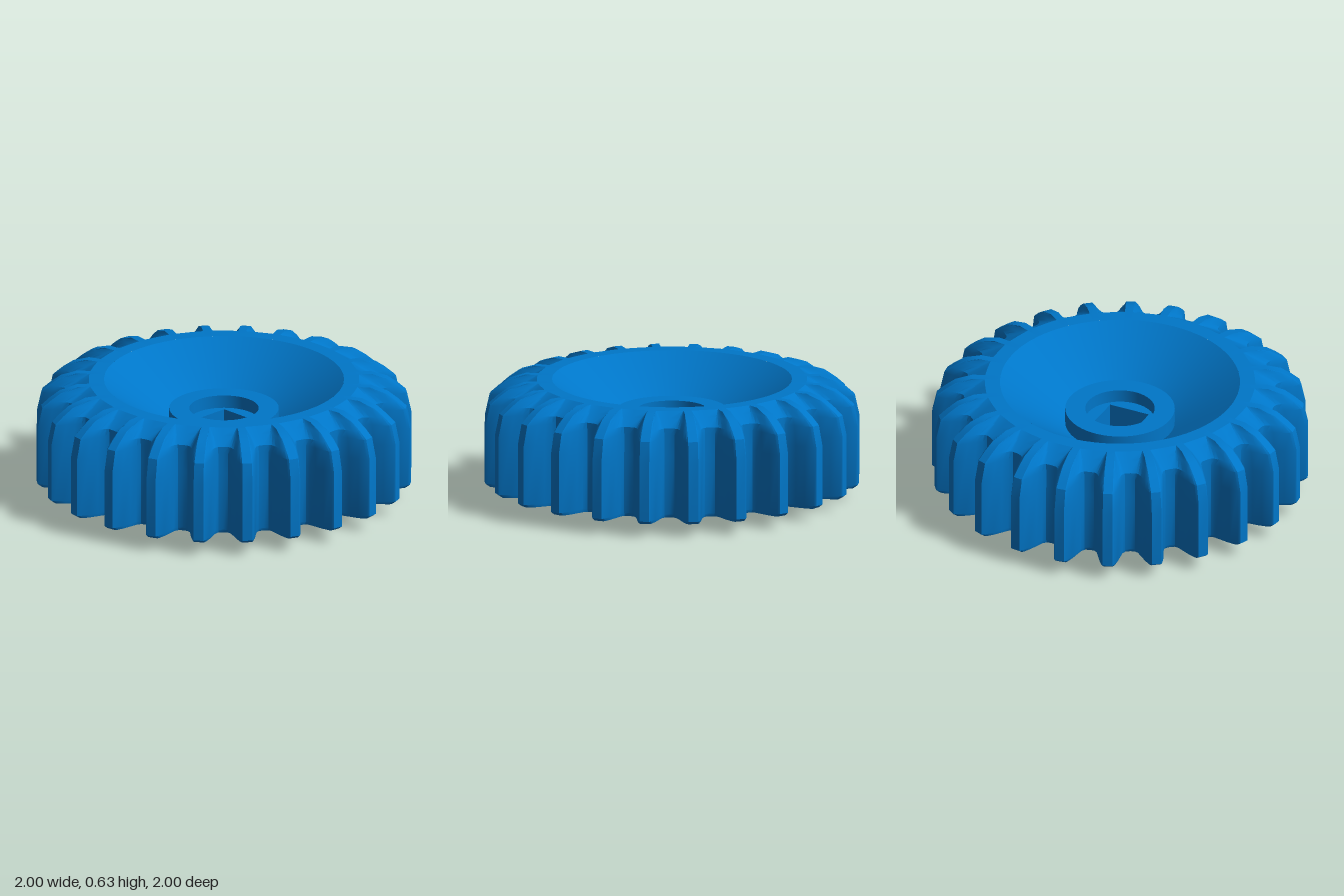
import * as THREE from 'three';
import { toCreasedNormals } from 'three/addons/utils/BufferGeometryUtils.js';

const TEETH = 24;
const lerp = THREE.MathUtils.lerp;
const V = (x, y) => new THREE.Vector2(x, y);

// Half tooth from tip to gap: [fraction of tooth height, degrees off tooth centre]
const HALF = [[1, 1.5], [0.93, 2.0], [0.66, 3.0], [0.36, 3.9], [0.13, 4.7], [0.03, 5.7], [0, 7.5]];
// Upper bevel pulls the flanks in to a narrow land
const LAND = [1.6, 1.62, 1.64, 1.66, 1.68, 1.7, 7.5];
// Levels: height, tip radius, root radius, bevel amount
const LEVELS = [
  [0.07, 0.725, 0.725, 0], [0.07, 0.98, 0.822, 0], [0.088, 1.004, 0.83, 0],
  [0.41, 1.004, 0.83, 0], [0.52, 0.98, 0.83, 0], [0.56, 0.935, 0.83, 0.05],
  [0.6, 0.88, 0.767, 0.5], [0.63, 0.79, 0.72, 1], [0.63, 0.64, 0.64, 1],
];

// Toothed ring: the gear outline lofted through the levels
function toothedRing() {
  const pos = [], index = [];
  const side = HALF.map(([f, a], i) => ({ f, a, land: LAND[i] }));
  const tooth = [
    ...side.slice().reverse().map(p => ({ f: p.f, a: -p.a, land: -p.land })),
    ...side.slice(0, -1),
  ];
  const n = tooth.length * TEETH;
  for (const [y, tip, root, bevel] of LEVELS) {
    for (let t = 0; t < TEETH; t++) {
      for (const p of tooth) {
        const a = THREE.MathUtils.degToRad((t + 0.5) * 360 / TEETH + lerp(p.a, p.land, bevel));
        const r = lerp(root, tip, p.f);
        pos.push(r * Math.sin(a), y, r * Math.cos(a));
      }
    }
  }
  for (let k = 0; k < LEVELS.length - 1; k++) {
    for (let j = 0; j < n; j++) {
      const a = k * n + j, b = k * n + (j + 1) % n;
      index.push(a, b, b + n, a, b + n, a + n);
    }
  }
  const g = new THREE.BufferGeometry();
  g.setAttribute('position', new THREE.Float32BufferAttribute(pos, 3));
  g.setIndex(index);
  return toCreasedNormals(g, 0.5);
}

const lathe = pts => toCreasedNormals(new THREE.LatheGeometry(pts.map(p => V(...p)), 96), 0.4);

export function createModel() {
  const group = new THREE.Group();
  const material = new THREE.MeshStandardMaterial({ color: 0x0076c8 });
  const add = (name, geometry) => {
    const mesh = new THREE.Mesh(geometry, material);
    mesh.name = name;
    group.add(mesh);
    return mesh;
  };

  add('toothedRing', toothedRing());

  // Conical dish running down to the raised hub and its upper recess
  add('dishAndHubTop', lathe([[0.64, 0.63], [0.292, 0.38], [0.292, 0.465], [0.185, 0.465], [0.185, 0.39]]));

  // Lower recess, hub, underside of the dish and inner wall of the rim
  add('hubAndUnderside', lathe([
    [0.185, 0.07], [0.185, 0], [0.292, 0], [0.292, 0.18], [0.335, 0.18], [0.725, 0.53], [0.725, 0.07],
  ]));

  // Hub core with a square axle hole
  const core = new THREE.Shape().absarc(0, 0, 0.188, 0, Math.PI * 2);
  const s = 0.115;
  core.holes.push(new THREE.Path([V(-s, -s), V(-s, s), V(s, s), V(s, -s)]));
  const coreGeo = new THREE.ExtrudeGeometry(core, { depth: 0.325, bevelEnabled: false, curveSegments: 48 });
  coreGeo.rotateX(-Math.PI / 2).translate(0, 0.07, 0);
  add('axleHole', coreGeo);

  // Eight stiffening ribs between hub and rim
  const ribShape = new THREE.Shape([V(0.27, 0.071), V(0.74, 0.071), V(0.74, 0.55), V(0.27, 0.27)]);
  const ribGeo = new THREE.ExtrudeGeometry(ribShape, { depth: 0.07, bevelEnabled: false }).translate(0, 0, -0.035);
  for (let i = 0; i < 8; i++) add('rib', ribGeo).rotation.y = i * Math.PI / 4;

  return group;
}
